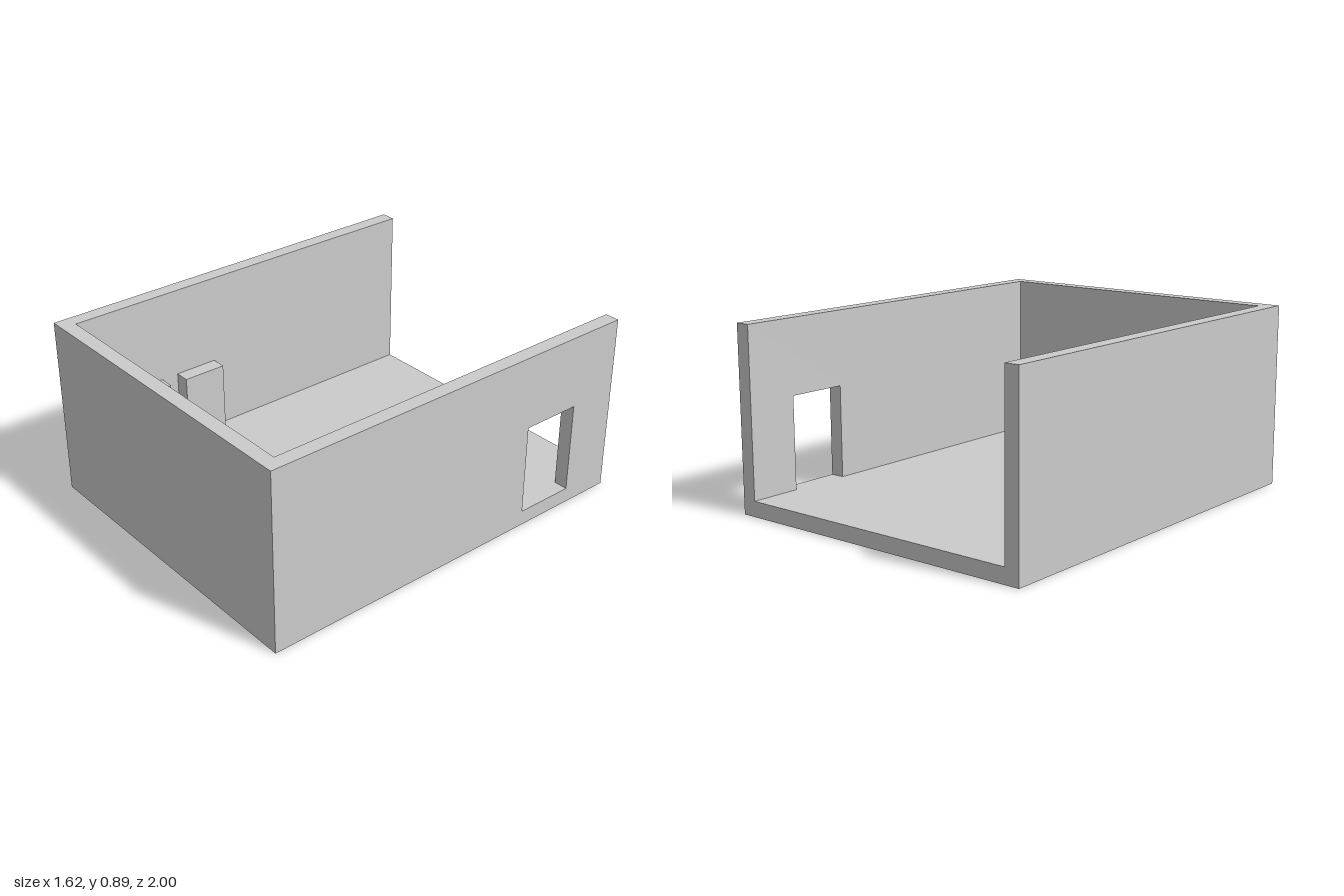
import * as THREE from 'three';

const W = 0.81, D = 1, H = 0.89;      // half width, half depth, height
const T = 0.072;                      // wall thickness
const FLOOR = 0.075;                  // floor slab thickness

const material = new THREE.MeshStandardMaterial({ color: 0xcccccc, flatShading: true });

function add(group, name, geometry) {
  const mesh = new THREE.Mesh(geometry, material);
  mesh.name = name;
  group.add(mesh);
  return mesh;
}

// Box given by its minimum and maximum corners
function addBox(group, name, [x0, y0, z0], [x1, y1, z1]) {
  const mesh = add(group, name, new THREE.BoxGeometry(x1 - x0, y1 - y0, z1 - z0));
  mesh.position.set((x0 + x1) / 2, (y0 + y1) / 2, (z0 + z1) / 2);
}

// Square section with cut corners, counter-clockwise about +z
function cutSquare([r, c, z]) {
  const k = r - c;
  return [[r, -k], [r, k], [k, r], [-k, r], [-r, k], [-r, -k], [-k, -r], [k, -r]]
    .map(([x, y]) => [x, y, z]);
}

// Skin a sequence of sections [half size, corner cut, z]
function loft(sections) {
  const loops = sections.map(cutSquare);
  const positions = [];
  for (let s = 0; s + 1 < loops.length; s++) {
    const a = loops[s], b = loops[s + 1];
    for (let i = 0; i < 8; i++) {
      const j = (i + 1) % 8;
      for (const p of [a[i], a[j], b[j], a[i], b[j], b[i]]) positions.push(...p);
    }
  }
  const geometry = new THREE.BufferGeometry();
  geometry.setAttribute('position', new THREE.Float32BufferAttribute(positions, 3));
  geometry.computeVertexNormals();
  return geometry;
}

export function createModel() {
  const room = new THREE.Group();
  room.name = 'room';

  // Shell, open at the top and back
  addBox(room, 'floor', [-W, 0, -D], [W, FLOOR, D]);
  addBox(room, 'frontWall', [-W, FLOOR, D - T], [W, H, D]);
  addBox(room, 'rightWall', [-W, FLOOR, -D], [-W + T, H, D - T]);

  // Left wall with a doorway down to the floor; outline is in (-z, y)
  const outline = [
    [-D + T, FLOOR], [0.445, FLOOR], [0.445, 0.525], [0.745, 0.525],
    [0.745, FLOOR], [D, FLOOR], [D, H], [-D + T, H],
  ].map(([x, y]) => new THREE.Vector2(x, y));
  const leftWall = add(room, 'leftWall', new THREE.ExtrudeGeometry(
    new THREE.Shape(outline), { depth: T, bevelEnabled: false }));
  leftWall.rotation.y = Math.PI / 2;
  leftWall.position.x = W - T;

  // Cabinets standing against the front and right walls
  const top = 0.445, depth = 0.075;
  for (const [x0, x1] of [[-0.56, -0.34], [-0.23, -0.005]])
    addBox(room, 'frontCabinet', [x0, FLOOR, D - T - depth], [x1, top, D - T]);
  for (const [z0, z1] of [[0.18, 0.4], [0.49, 0.715]])
    addBox(room, 'sideCabinet', [-W + T, FLOOR, z0], [-W + T + depth, top, z1]);

  // Bevelled frame with a recessed panel, facing into the room
  const frame = add(room, 'recessedFrame', loft([
    [0, 0, 0], [0.08, 0.015, 0], [0.08, 0.015, 0.04], [0.07, 0.012, 0.06],
    [0.055, 0.002, 0.06], [0.05, 0.002, 0.03], [0, 0, 0.03],
  ]));
  frame.rotation.y = Math.PI;
  frame.position.set(0.445, 0.298, 0.87);

  return room;
}
